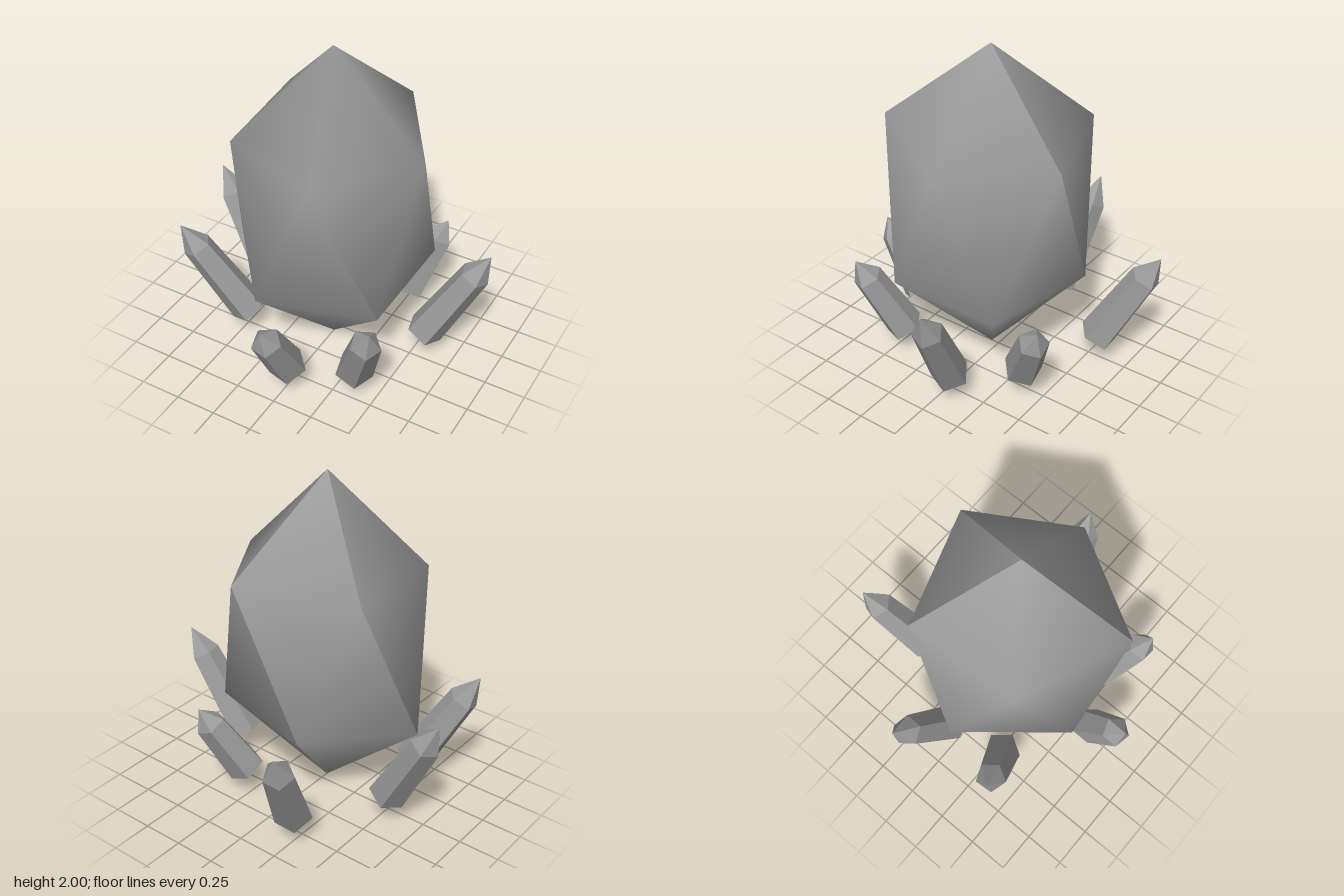
import * as THREE from 'three';
import { mergeGeometries } from 'three/addons/utils/BufferGeometryUtils.js';

const APEX = [0, 2, 0.05];
const FOOT = [0, 0, 0.05];
// Five upper corners, and five lower corners turned by half a step
const UPPER = [[0.56, 1.43, 0.04], [0.19, 1.48, 0.66], [-0.46, 1.44, 0.38], [-0.5, 1.47, -0.31], [0.19, 1.47, -0.54]];
const LOWER = [[0.49, 0.58, -0.31], [0.48, 0.57, 0.4], [-0.19, 0.58, 0.61], [-0.65, 0.56, 0.05], [-0.2, 0.59, -0.48]];

// One smooth-shaded sector of the large gem; sectors meet at sharp edges
function gemSector(chain) {
  const n = chain.length;
  const points = [APEX, FOOT, ...chain.map((i) => UPPER[i]), ...chain.map((i) => LOWER[i])];
  const index = [];
  for (let i = 0; i < n - 1; i++) {
    const u = 2 + i, l = 2 + n + i;
    index.push(0, u + 1, u, u, u + 1, l + 1, u, l + 1, l, 1, l, l + 1);
  }
  const g = new THREE.BufferGeometry();
  g.setAttribute('position', new THREE.Float32BufferAttribute(points.flat(), 3));
  g.setIndex(index);
  g.computeVertexNormals();
  return g;
}

// Tapered five-sided shard with a pointed end, flat faces
function shard(base, tip, roll) {
  const from = new THREE.Vector3(...base);
  const axis = new THREE.Vector3(...tip).sub(from);
  const length = axis.length();
  const profile = [[0, 0], [0.115, 0], [0.092, length * 0.76], [0, length]].map(([r, y]) => new THREE.Vector2(r, y));
  const g = new THREE.LatheGeometry(profile, 5).toNonIndexed();
  g.computeVertexNormals();
  g.rotateY(Math.atan2(axis.x, axis.z) + roll);
  g.applyQuaternion(new THREE.Quaternion().setFromUnitVectors(new THREE.Vector3(0, 1, 0), axis.normalize()));
  g.translate(...base);
  return g;
}

export function createModel() {
  const group = new THREE.Group();
  group.name = 'crystalCluster';
  const stone = new THREE.MeshStandardMaterial({ name: 'greyStone', color: 0x9c9c9c });

  const add = (name, geometry) => {
    const mesh = new THREE.Mesh(geometry, stone);
    mesh.name = name;
    group.add(mesh);
  };

  add('largeCrystal', mergeGeometries([[1, 2, 3], [3, 4], [4, 0, 1]].map(gemSector)));

  // Ring of small shards: name, base centre, tip, roll
  const shards = [
    ['frontShard', [0.01, 0.165, 0.6], [0, 0.61, 0.86], 0.45],
    ['frontLeftShard', [0.36, 0.165, 0.44], [0.555, 0.67, 0.63], -0.25],
    ['leftShard', [0.56, 0.165, -0.06], [0.91, 0.81, -0.145], 0],
    ['backLeftShard', [0.28, 0.165, -0.37], [0.45, 0.61, -0.58], 0.2],
    ['backRightShard', [-0.235, 0.17, -0.56], [-0.37, 0.77, -0.875], 0.3],
    ['rightShard', [-0.54, 0.17, -0.07], [-0.91, 0.815, -0.145], 0.2],
    ['frontRightShard', [-0.46, 0.165, 0.29], [-0.795, 0.79, 0.465], 0.2],
  ];
  for (const [name, base, tip, roll] of shards) add(name, shard(base, tip, roll));

  return group;
}
